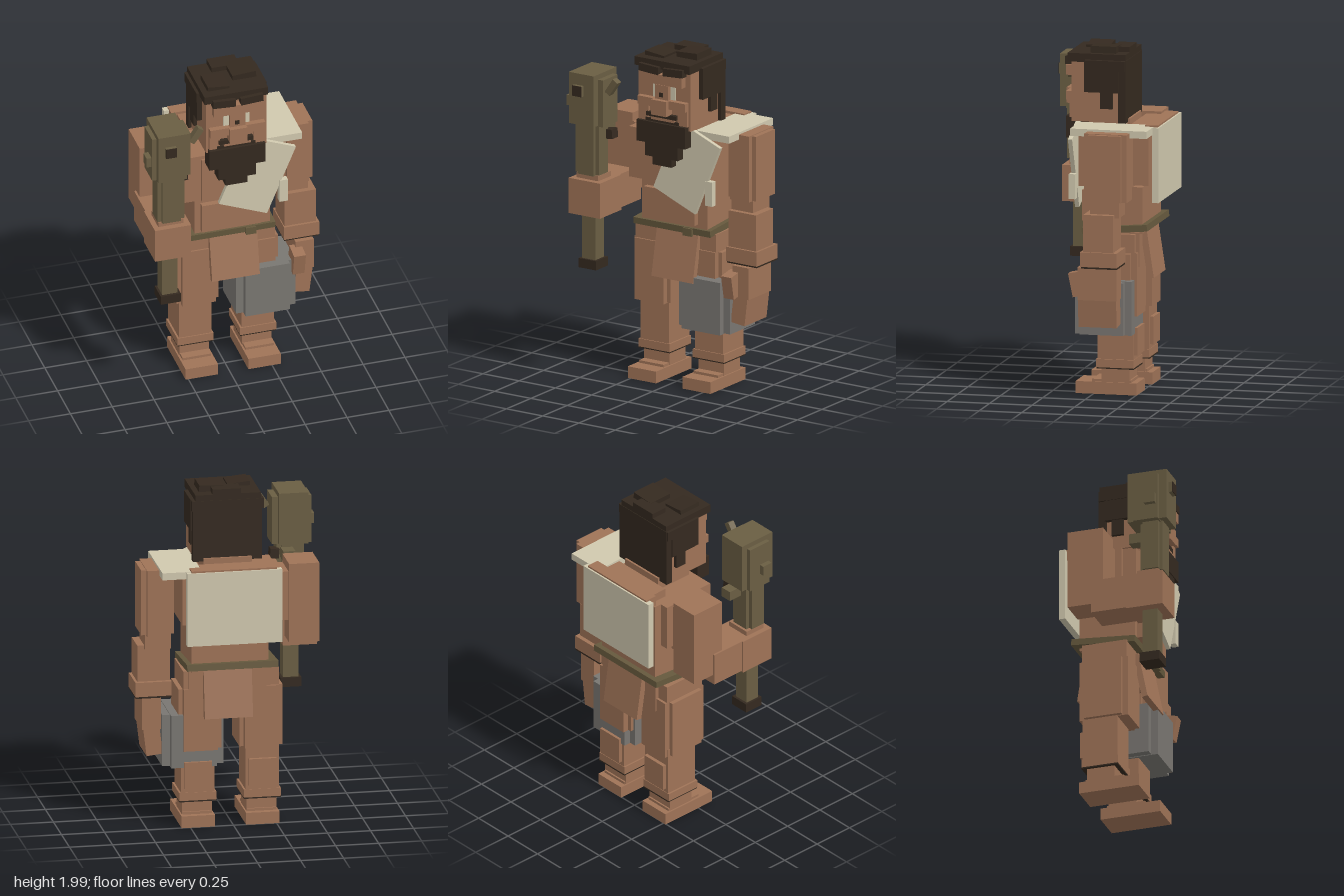
import * as THREE from 'three';

const material = (name, color) => {
  const m = new THREE.MeshStandardMaterial({ color });
  m.name = name;
  return m;
};

export function createModel() {
  const skin = material('skin', 0x9f7357);
  const hair = material('hair', 0x34291f);
  const fur = material('fur', 0xd0c8ae);
  const wood = material('wood', 0x6a5e43);
  const belt = material('beltLeather', 0x66593d);
  const stone = material('greyPouch', 0x797671);

  const model = new THREE.Group();
  model.name = 'clubWarrior';
  const group = (name) => {
    const g = new THREE.Group();
    g.name = name;
    model.add(g);
    return g;
  };
  // Box given by its limits on each axis, with optional tilt about its centre
  const box = (parent, name, mat, [x0, x1], [y0, y1], [z0, z1], rot = [0, 0, 0]) => {
    const mesh = new THREE.Mesh(new THREE.BoxGeometry(x1 - x0, y1 - y0, z1 - z0), mat);
    mesh.position.set((x0 + x1) / 2, (y0 + y1) / 2, (z0 + z1) / 2);
    mesh.rotation.set(...rot);
    mesh.name = name;
    parent.add(mesh);
    return mesh;
  };
  // Block with notched corners: two crossing boxes, inset by dx and dz
  const notched = (parent, name, mat, [x0, x1], [y0, y1], [z0, z1], dx, dz) => {
    box(parent, name, mat, [x0, x1], [y0, y1], [z0 + dz, z1 - dz]);
    box(parent, name + 'Core', mat, [x0 + dx, x1 - dx], [y0 - 0.004, y1 + 0.004], [z0, z1]);
  };

  // Head and face
  const head = group('head');
  box(head, 'skull', skin, [-0.16, 0.2], [1.56, 1.92], [-0.13, 0.155]);
  box(head, 'neck', skin, [-0.12, 0.16], [1.45, 1.58], [-0.18, 0.06]);
  box(head, 'brow', skin, [-0.125, 0.165], [1.82, 1.88], [0.14, 0.195]);
  box(head, 'noseBridge', skin, [-0.025, 0.065], [1.7, 1.815], [0.15, 0.185]);
  box(head, 'nose', skin, [-0.035, 0.07], [1.64, 1.73], [0.15, 0.215]);
  box(head, 'pupil', hair, [0.005, 0.03], [1.745, 1.77], [0.185, 0.189]);
  for (const s of [-1, 1]) {
    const c = 0.02;
    const side = (a, b) => [c + s * a, c + s * b].sort((p, q) => p - q);
    box(head, 'eye', fur, side(0.045, 0.078), [1.73, 1.815], [0.155, 0.16]);
    box(head, 'cheek', skin, side(0.05, 0.165), [1.68, 1.73], [0.14, 0.19]);
    box(head, 'jaw', skin, side(0.1, 0.165), [1.58, 1.68], [0.1, 0.17]);
    box(head, 'sideHair', hair, side(0.18, 0.208), [1.735, 1.92], [-0.13, 0.072]);
    box(head, 'sideburn', hair, side(0.178, 0.2), [1.64, 1.735], [-0.09, -0.02]);
    box(head, 'fringe', hair, side(0.015, 0.15), [1.88, 1.925], [0.14, 0.2], [0, 0, s * 0.06]);
  }
  box(head, 'moustache', hair, [-0.09, 0.115], [1.617, 1.642], [0.14, 0.18]);
  box(head, 'lip', skin, [-0.06, 0.1], [1.6, 1.617], [0.14, 0.178]);
  box(head, 'beardTop', hair, [-0.15, 0.185], [1.46, 1.587], [0.1, 0.19]);
  box(head, 'beardMiddle', hair, [-0.095, 0.13], [1.38, 1.46], [0.11, 0.185]);
  box(head, 'beardTip', hair, [-0.05, 0.08], [1.33, 1.38], [0.12, 0.175]);
  box(head, 'beardCorner', hair, [-0.1, 0.13], [1.58, 1.605], [0.11, 0.175]);

  // Hair cap, back and tufts
  box(head, 'hairCap', hair, [-0.175, 0.205], [1.905, 1.955], [-0.165, 0.176]);
  box(head, 'hairRim', hair, [-0.192, 0.226], [1.86, 1.92], [-0.165, 0.07]);
  box(head, 'backHair', hair, [-0.18, 0.22], [1.56, 1.92], [-0.168, -0.125]);
  box(head, 'tuft', hair, [-0.06, 0.105], [1.95, 1.985], [-0.165, -0.065]);
  box(head, 'tuft', hair, [0.03, 0.172], [1.945, 1.99], [-0.1, 0.05], [0, 0, 0.06]);
  box(head, 'tuft', hair, [-0.14, -0.01], [1.94, 1.975], [-0.02, 0.12], [0, 0, -0.1]);

  // Torso, belt and hanging cloths
  const torso = group('torso');
  box(torso, 'chest', skin, [-0.27, 0.29], [1.2, 1.5], [-0.22, 0.09]);
  box(torso, 'upperBack', skin, [-0.24, 0.25], [1.21, 1.5], [-0.312, -0.19]);
  box(torso, 'shoulderRidge', skin, [-0.23, 0.265], [1.5, 1.565], [-0.37, -0.295]);
  box(torso, 'shoulderLine', skin, [-0.195, 0.195], [1.48, 1.55], [-0.3, -0.19]);
  box(torso, 'rightPectoral', skin, [-0.17, 0.02], [1.2, 1.48], [0.05, 0.105]);
  box(torso, 'waist', skin, [-0.2, 0.25], [0.93, 1.2], [-0.275, 0.06]);
  box(torso, 'belly', skin, [-0.165, 0.185], [0.98, 1.16], [0, 0.095]);
  box(torso, 'belt', belt, [-0.25, 0.28], [0.935, 0.973], [-0.31, 0.075], [0.08, 0, 0]);
  box(torso, 'buckle', belt, [0.1, 0.16], [0.91, 0.955], [0.07, 0.09]);
  box(torso, 'pelvis', skin, [-0.19, 0.26], [0.74, 0.94], [-0.26, 0.03]);
  box(torso, 'frontCloth', skin, [-0.107, 0.178], [0.63, 0.91], [0.04, 0.075], [-0.2, 0, 0]);
  box(torso, 'backCloth', skin, [-0.1, 0.18], [0.66, 0.94], [-0.305, -0.268], [0.15, 0, 0]);

  // Fur cape, shoulder pad and sash
  const cape = group('furCape');
  box(cape, 'backFur', fur, [-0.26, 0.292], [1.12, 1.555], [-0.38, -0.342]);
  box(cape, 'shoulderFur', fur, [0.2, 0.43], [1.515, 1.557], [-0.345, 0.105]);
  box(cape, 'frontSash', fur, [0, 0.31], [1.105, 1.56], [0.105, 0.13], [0, 0, -0.39]);
  box(cape, 'sideTuft', fur, [0.285, 0.335], [1.13, 1.275], [0.1, 0.137]);

  // Legs and feet
  for (const [name, cx] of [['rightLeg', -0.17], ['leftLeg', 0.205]]) {
    const leg = group(name);
    const w = (half, shift = 0) => [cx + shift - half, cx + shift + half];
    const out = cx < 0 ? 0.005 : -0.015;
    notched(leg, 'thigh', skin, w(0.125, out), [0.46, 0.82], [-0.255, 0.04], 0.025, 0.035);
    box(leg, 'hip', skin, w(0.1, out), [0.78, 0.93], [-0.24, 0.03]);
    box(leg, 'shin', skin, w(0.097), [0.18, 0.5], [-0.235, -0.025]);
    box(leg, 'calf', skin, w(0.08), [0.23, 0.39], [-0.257, -0.2]);
    box(leg, 'cuff', skin, w(0.108), [0.157, 0.205], [-0.238, -0.018]);
    box(leg, 'ankleStrap', hair, w(0.107), [0.15, 0.157], [-0.24, -0.02]);
    box(leg, 'ankle', skin, w(0.088), [0.06, 0.15], [-0.21, -0.045]);
    box(leg, 'foot', skin, w(0.097), [0, 0.07], [-0.255, 0.105]);
    box(leg, 'instep', skin, w(0.085), [0.06, 0.085], [-0.22, 0.01]);
  }
  notched(model, 'thighPouch', stone, [0.05, 0.405], [0.36, 0.665], [-0.24, 0.095], 0.045, 0.04);

  // Left arm hanging by the side
  const left = group('leftArm');
  notched(left, 'upperArm', skin, [0.34, 0.53], [1.154, 1.54], [-0.245, 0.005], 0.03, 0.03);
  box(left, 'elbow', skin, [0.355, 0.505], [1.06, 1.2], [-0.2, -0.03]);
  box(left, 'forearm', skin, [0.355, 0.545], [0.82, 1.08], [-0.175, 0]);
  box(left, 'wristCuff', skin, [0.35, 0.56], [0.78, 0.865], [-0.2, 0.015]);
  box(left, 'wristStrap', hair, [0.352, 0.558], [0.77, 0.78], [-0.2, 0.01]);
  box(left, 'palm', skin, [0.41, 0.52], [0.58, 0.77], [-0.19, 0.04]);
  box(left, 'fingers', skin, [0.41, 0.505], [0.425, 0.62], [-0.185, 0.04], [0, 0, -0.12]);
  box(left, 'thumb', skin, [0.38, 0.45], [0.59, 0.73], [0, 0.1], [0.2, 0, 0]);

  // Right arm bent forward
  const right = group('rightArm');
  box(right, 'upperArm', skin, [-0.5, -0.325], [1.07, 1.54], [-0.245, -0.03]);
  box(right, 'armpit', skin, [-0.34, -0.28], [1.2, 1.49], [-0.22, -0.03]);
  box(right, 'shoulder', skin, [-0.292, -0.2], [1.22, 1.5], [-0.265, 0.01]);
  box(right, 'forearm', skin, [-0.512, -0.315], [1.01, 1.21], [-0.1, 0.14]);
  box(right, 'fist', skin, [-0.52, -0.305], [1, 1.21], [0.115, 0.335]);
  box(right, 'thumb', skin, [-0.49, -0.34], [1.2, 1.24], [0.17, 0.3]);

  // Wooden club
  const club = group('club');
  box(club, 'shaft', wood, [-0.462, -0.37], [0.72, 1.3], [0.195, 0.285]);
  box(club, 'pommel', hair, [-0.475, -0.355], [0.675, 0.73], [0.18, 0.3]);
  notched(club, 'neck', wood, [-0.495, -0.335], [1.244, 1.56], [0.185, 0.32], 0.025, 0.02);
  box(club, 'clubHead', wood, [-0.53, -0.3], [1.54, 1.82], [0.16, 0.31]);
  box(club, 'clubHeadCore', wood, [-0.505, -0.335], [1.545, 1.85], [0.12, 0.355]);
  box(club, 'frontKnot', wood, [-0.467, -0.403], [1.72, 1.782], [0.35, 0.376]);
  box(club, 'frontKnotFace', hair, [-0.467, -0.403], [1.72, 1.782], [0.376, 0.38]);
  box(club, 'backKnot', wood, [-0.425, -0.355], [1.45, 1.51], [0.1, 0.2]);
  box(club, 'sideKnot', wood, [-0.56, -0.52], [1.63, 1.69], [0.235, 0.3]);
  box(club, 'lowKnot', hair, [-0.345, -0.292], [1.45, 1.505], [0.17, 0.23], [0, 0, 0.1]);
  box(club, 'twig', wood, [-0.278, -0.24], [1.73, 1.83], [0.25, 0.29], [0, 0, -0.6]);

  return model;
}
